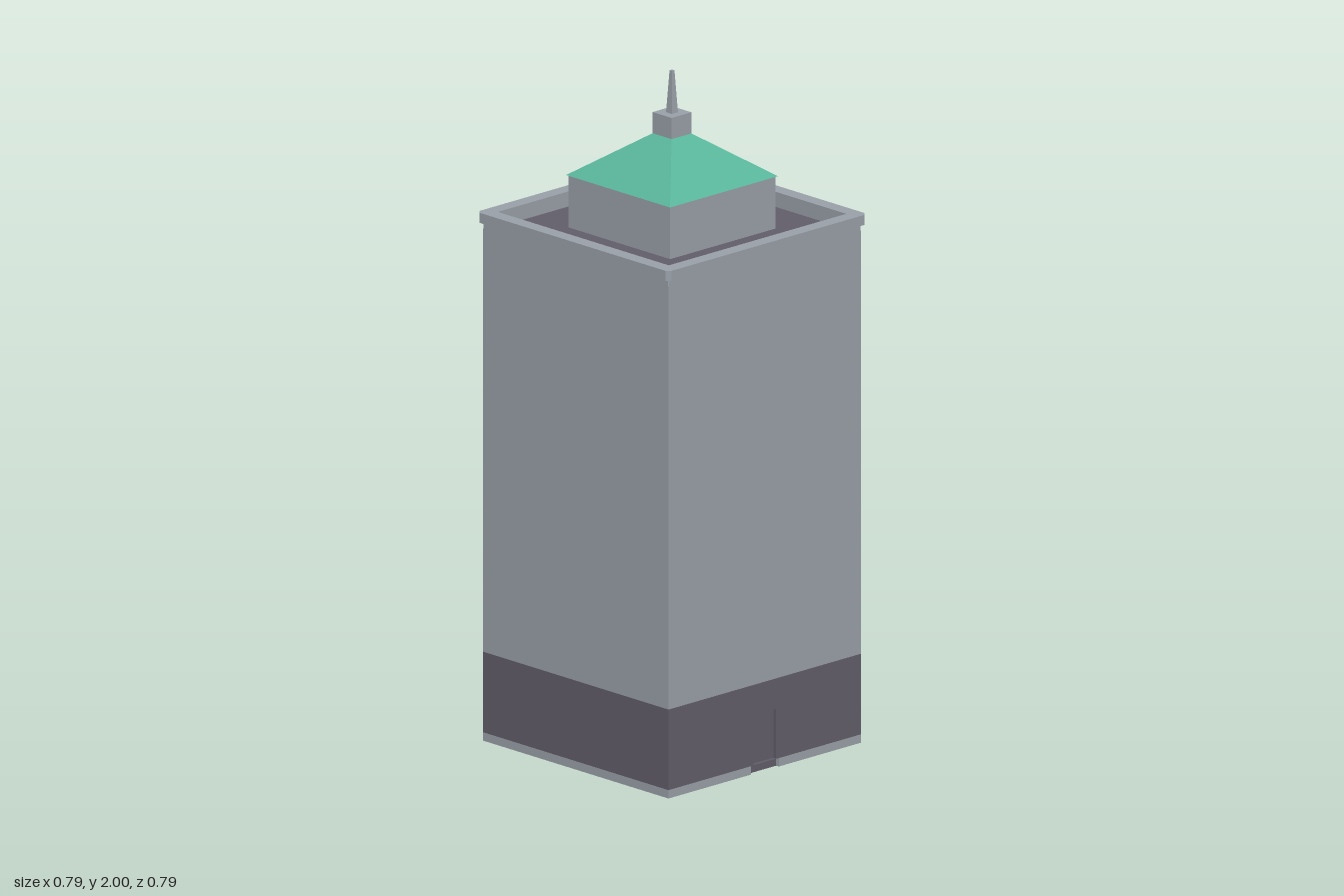
import * as THREE from 'three';

const mat = (name, color) => {
  const m = new THREE.MeshStandardMaterial({ color });
  m.name = name;
  return m;
};

export function createModel() {
  const model = new THREE.Group();
  model.name = 'tower';
  const stone = mat('grey stone', 0x9aa1a9);
  const dark = mat('dark stone', 0x625e6b);
  const copper = mat('green copper', 0x58b59a);

  const add = (name, geo, material, x = 0, y = 0, z = 0) => {
    const mesh = new THREE.Mesh(geo, material);
    mesh.name = name;
    mesh.position.set(x, y, z);
    model.add(mesh);
    return mesh;
  };
  // Box given by its x, y and z ranges
  const block = (name, material, x0, x1, y0, y1, z0, z1) => add(name,
    new THREE.BoxGeometry(x1 - x0, y1 - y0, z1 - z0), material,
    (x0 + x1) / 2, (y0 + y1) / 2, (z0 + z1) / 2);
  const rect = (Type, x0, x1, y0, y1) => new Type([
    [x0, y0], [x1, y0], [x1, y1], [x0, y1]].map(([x, y]) => new THREE.Vector2(x, y)));
  const extrude = (shape, depth) => new THREE.ExtrudeGeometry(shape, { depth, bevelEnabled: false });
  // Square frustum standing on y0, given half widths
  const frustum = (name, material, bottom, top, y0, y1) => {
    const geo = new THREE.CylinderGeometry(top * Math.SQRT2, bottom * Math.SQRT2, y1 - y0, 4).toNonIndexed();
    geo.rotateY(Math.PI / 4);
    geo.computeVertexNormals();
    return add(name, geo, material, 0, (y0 + y1) / 2, 0);
  };
  // Square ring with chamfered outer corners, lying flat
  const ring = (name, half, inner, chamfer, y0, y1) => {
    const k = half - chamfer;
    const shape = new THREE.Shape([[half, -k], [half, k], [k, half], [-k, half],
      [-half, k], [-half, -k], [-k, -half], [k, -half]].map(([x, y]) => new THREE.Vector2(x, y)));
    shape.holes.push(rect(THREE.Path, -inner, inner, -inner, inner));
    const geo = extrude(shape, y1 - y0);
    geo.rotateX(-Math.PI / 2);
    return add(name, geo, stone, 0, y0, 0);
  };

  const W = 0.38, recess = 0.015, face = W - recess, plinth = 0.025, bandTop = 0.265;

  // Ground floor core and plinth
  block('groundFloor', dark, -W, W, plinth, bandTop, -face, face);
  block('plinth', stone, -W, W, 0, plinth, -face, face);

  // Facade skin with recessed openings; plinth strip breaks at each gap
  const facade = (name, side, openings, gapHalf) => {
    const shape = rect(THREE.Shape, -W, W, plinth, bandTop);
    let start = -W;
    for (const o of openings) {
      shape.holes.push(rect(THREE.Path, o.x - o.half, o.x + o.half, o.bottom, o.top));
      const z0 = side > 0 ? face : -W;
      block(name + 'PlinthStrip', stone, start, o.x - gapHalf, 0, plinth, z0, z0 + recess);
      start = o.x + gapHalf;
      const zp = side * (face + 0.002);
      block(name + 'Threshold', dark, o.x - gapHalf, o.x + gapHalf, 0, plinth, zp - 0.002, zp + 0.002);
      block(name + 'Panel', o.material, o.x - o.half, o.x + o.half, o.bottom, o.top, zp - 0.002, zp + 0.002);
    }
    const z0 = side > 0 ? face : -W;
    block(name + 'PlinthStrip', stone, start, W, 0, plinth, z0, z0 + recess);
    add(name + 'Wall', extrude(shape, recess), dark, 0, 0, z0);
  };
  facade('frontDoor', 1, [{ x: 0, half: 0.045, bottom: 0.026, top: 0.175, material: dark }], 0.055);
  facade('backWindow', -1, [-0.255, 0, 0.255].map((x) => (
    { x, half: 0.075, bottom: 0.032, top: 0.18, material: stone })), 0.08);

  // Main shaft, sunken roof and parapet
  block('shaft', stone, -W, W, bandTop, 1.525, -W, W);
  block('roofDeck', dark, -0.35, 0.35, 1.525, 1.53, -0.35, 0.35);
  ring('parapet', W, 0.35, 0.002, 1.525, 1.545);
  ring('cornice', 0.393, 0.35, 0.012, 1.545, 1.575);

  // Penthouse, hipped roof, lantern and spire
  block('penthouse', stone, -0.208, 0.208, 1.53, 1.686, -0.208, 0.208);
  frustum('hippedRoof', copper, 0.213, 0.039, 1.686, 1.812);
  block('lantern', stone, -0.039, 0.039, 1.811, 1.875, -0.039, 0.039);
  frustum('spire', stone, 0.012, 0.005, 1.875, 2);

  return model;
}
